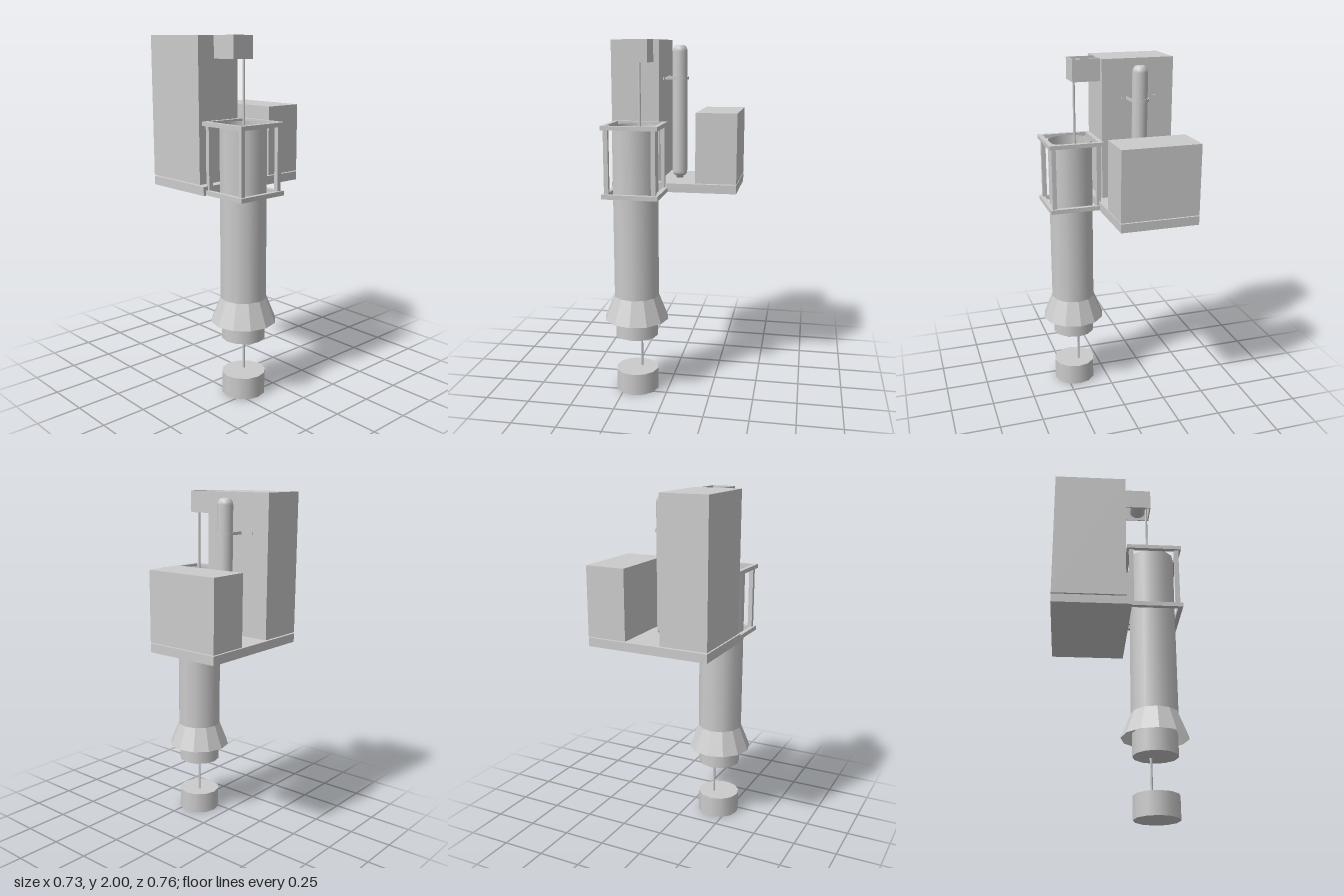
import * as THREE from 'three';

const grey = new THREE.MeshStandardMaterial({ color: 0xcccccc });
const thin = new THREE.MeshStandardMaterial({ color: 0xcccccc, side: THREE.DoubleSide });
const facetedThin = new THREE.MeshStandardMaterial({ color: 0xcccccc, side: THREE.DoubleSide, flatShading: true });

const SIDES = 12;
const TX = -0.183, TZ = 0.195;     // tube axis
const RX = -0.16, RZ = 0.173;      // cable axis

function add(parent, name, geometry, material = grey) {
  const mesh = new THREE.Mesh(geometry, material);
  mesh.name = name;
  parent.add(mesh);
  return mesh;
}

// Box given by its min and max on each axis
function box(parent, name, [x0, x1], [y0, y1], [z0, z1]) {
  const mesh = add(parent, name, new THREE.BoxGeometry(x1 - x0, y1 - y0, z1 - z0));
  mesh.position.set((x0 + x1) / 2, (y0 + y1) / 2, (z0 + z1) / 2);
  return mesh;
}

// Upright cylinder between two heights
function cyl(parent, name, x, z, y0, y1, rTop, rBottom = rTop, open = false, material = grey) {
  const mesh = add(parent, name, new THREE.CylinderGeometry(rTop, rBottom, y1 - y0, SIDES, 1, open), material);
  mesh.position.set(x, (y0 + y1) / 2, z);
  return mesh;
}

// Flat outline drawn in x and z, raised to a thickness in y
function plate(parent, name, shape, y0, height) {
  const geometry = new THREE.ExtrudeGeometry(shape, { depth: height, bevelEnabled: false, curveSegments: 10 });
  geometry.rotateX(-Math.PI / 2);
  const mesh = add(parent, name, geometry);
  mesh.position.y = y0;
  return mesh;
}

function square(target, half) {
  target.moveTo(-half, -half);
  target.lineTo(half, -half);
  target.lineTo(half, half);
  target.lineTo(-half, half);
  target.closePath();
  return target;
}

export function createModel() {
  const model = new THREE.Group();
  model.name = 'coringRig';

  // Platform and its two cabinets
  box(model, 'platform', [-0.355, 0.365], [1.15, 1.2], [-0.385, 0.065]);
  box(model, 'tallCabinet', [-0.355, -0.08], [1.207, 2], [-0.385, 0.033]);
  box(model, 'shortCabinet', [0.132, 0.365], [1.205, 1.602], [-0.385, 0.065]);

  // Hollow tube with a flared skirt
  cyl(model, 'tube', TX, TZ, 0.572, 1.54, 0.13, 0.13, true, thin);
  cyl(model, 'skirt', TX, TZ, 0.434, 0.572, 0.13, 0.185, true, facetedThin);

  // Guide frame: two square rings and four posts
  const frame = new THREE.Group();
  frame.name = 'guideFrame';
  frame.position.set(TX, 0, TZ);
  model.add(frame);
  const ring = square(new THREE.Shape(), 0.156);
  ring.holes.push(square(new THREE.Path(), 0.13));
  plate(frame, 'lowerRing', ring, 1.153, 0.025);
  plate(frame, 'upperRing', ring, 1.527, 0.023);
  for (const sx of [-1, 1]) {
    for (const sz of [-1, 1]) {
      const post = add(frame, 'post', new THREE.BoxGeometry(0.025, 0.35, 0.025));
      post.position.set(sx * 0.13, 1.352, sz * 0.13);
    }
  }

  // Piston in the tube mouth, weight below, and the cable through both
  cyl(model, 'piston', TX, TZ, 0.333, 0.46, 0.124);
  cyl(model, 'weight', TX, TZ, 0, 0.125, 0.124);
  cyl(model, 'cable', RX, RZ, 0.12, 1.94, 0.007);

  // Small tee bracket on top of the piston
  box(model, 'bracketStem', [-0.18, -0.159], [0.46, 0.475], [0.173, 0.208]);
  box(model, 'bracketBar', [-0.196, -0.128], [0.46, 0.475], [0.207, 0.215]);

  // Winch: three-sided housing around a horizontal drum
  const winch = new THREE.Group();
  winch.name = 'winch';
  model.add(winch);
  box(winch, 'housingSide', [-0.248, -0.242], [1.877, 2], [0.033, 0.192]);
  box(winch, 'housingSide', [-0.118, -0.112], [1.877, 2], [0.033, 0.192]);
  box(winch, 'housingFront', [-0.242, -0.118], [1.877, 2], [0.186, 0.192]);
  const drum = add(winch, 'drum', new THREE.CylinderGeometry(0.048, 0.048, 0.124, 24));
  drum.rotation.z = Math.PI / 2;
  drum.position.set(-0.18, 1.94, 0.123);

  // Gas bottle standing on the platform
  const profile = [
    [0, 1.2], [0.02, 1.2], [0.02, 1.213], [0.03, 1.214], [0.039, 1.222], [0.044, 1.237],
    [0.044, 1.935], [0.04, 1.952], [0.03, 1.966], [0.022, 1.97], [0, 1.97],
  ].map(([r, y]) => new THREE.Vector2(r, y));
  const bottle = add(model, 'bottle', new THREE.LatheGeometry(profile, SIDES));
  bottle.position.set(0.006, 0, -0.159);

  // U-shaped clamp with two wall flanges; local y runs towards the back
  const wall = -0.086, inner = 0.047, outer = 0.052;
  const strap = new THREE.Shape();
  strap.moveTo(wall, -outer);
  strap.lineTo(0, -outer);
  strap.absarc(0, 0, outer, -Math.PI / 2, Math.PI / 2, false);
  strap.lineTo(wall, outer);
  strap.lineTo(wall, inner);
  strap.lineTo(0, inner);
  strap.absarc(0, 0, inner, Math.PI / 2, -Math.PI / 2, true);
  strap.lineTo(wall, -inner);
  strap.closePath();
  const clamp = plate(model, 'clampStrap', strap, 1.775, 0.016);
  clamp.position.x = 0.006;
  clamp.position.z = -0.159;
  box(model, 'clampFlange', [-0.08, -0.074], [1.775, 1.791], [-0.282, -0.206]);
  box(model, 'clampFlange', [-0.08, -0.074], [1.775, 1.791], [-0.112, -0.08]);

  return model;
}
